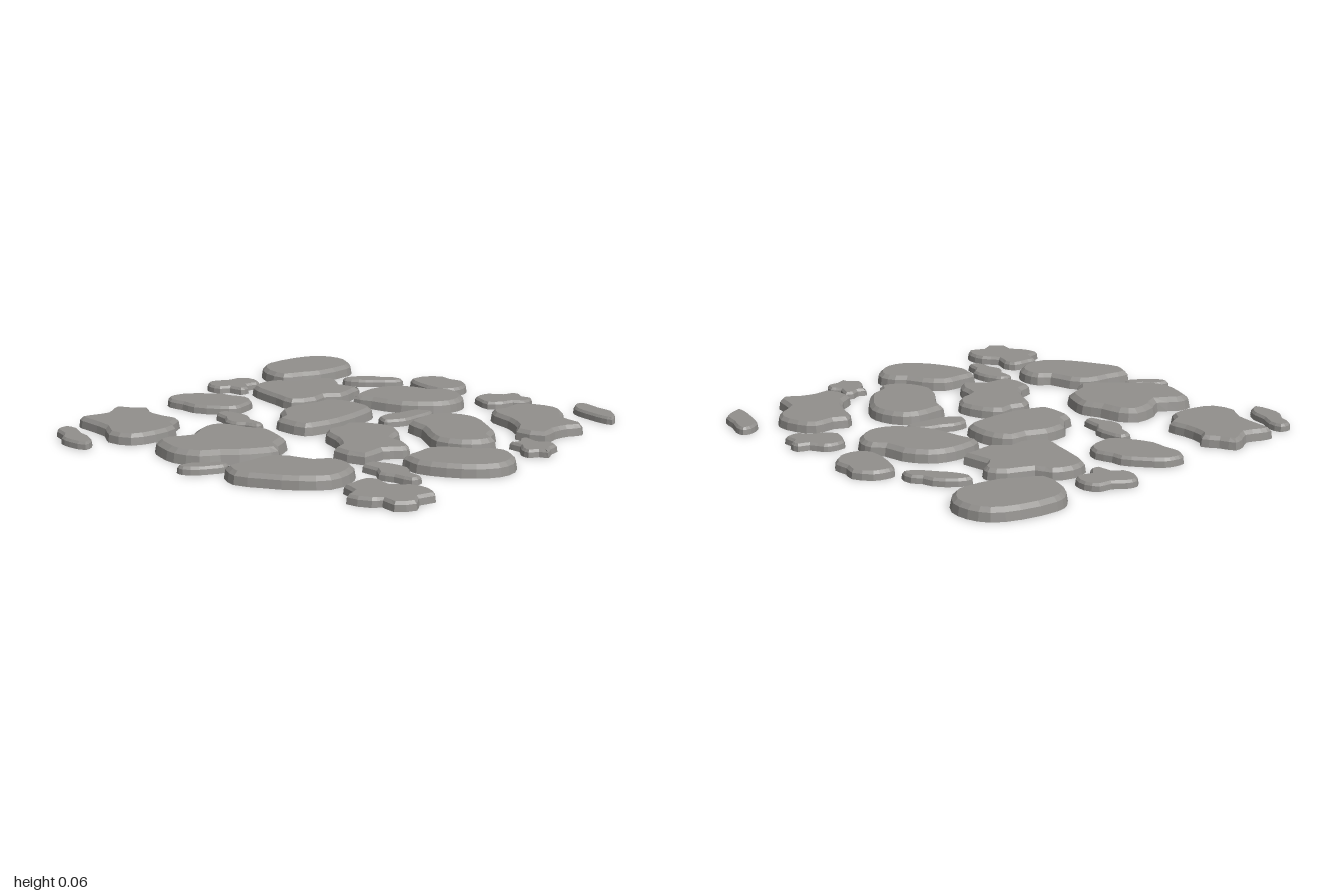
import * as THREE from 'three';

const stoneGrey = new THREE.MeshStandardMaterial({ color: 0x92908d, flatShading: true });
stoneGrey.name = 'stone grey';

// Moves a closed clockwise outline inwards by d and lifts it to height y.
function ring(outline, d, y) {
  const n = outline.length;
  return outline.map((p, i) => {
    const t = outline[(i + 1) % n].clone().sub(outline[(i + n - 1) % n]).normalize();
    return new THREE.Vector3(p.x - t.y * d, y, p.y + t.x * d);
  });
}

// A flat stone: smoothed plan outline (x, z in hundredths), steep wall, chamfered rim.
function stone(name, height, bevel, plan) {
  const knots = [];
  for (let i = 0; i < plan.length; i += 2) knots.push(new THREE.Vector3(plan[i] / 100, 0, plan[i + 1] / 100));
  const curve = new THREE.CatmullRomCurve3(knots, true);
  const n = knots.length * 2;
  const outline = Array.from({ length: n }, (_, i) => {
    const p = curve.getPoint(i / n);
    return new THREE.Vector2(p.x, p.z);
  });
  const rings = [
    ring(outline, 0, 0),
    ring(outline, bevel * 0.25, height * 0.68),
    ring(outline, bevel, height),
  ];
  const out = [];
  const tri = (a, b, c) => out.push(...a.toArray(), ...b.toArray(), ...c.toArray());

  // wall and chamfer
  for (let r = 0; r < rings.length - 1; r++) {
    for (let i = 0; i < n; i++) {
      const j = (i + 1) % n, lo = rings[r], hi = rings[r + 1];
      tri(lo[i], hi[i], hi[j]);
      tri(lo[i], hi[j], lo[j]);
    }
  }
  // underside and top
  for (const [cap, up] of [[rings[0], false], [rings[2], true]]) {
    const flat = cap.map((p) => new THREE.Vector2(p.x, p.z));
    for (const [a, b, c] of THREE.ShapeUtils.triangulateShape(flat, [])) {
      const facesUp = THREE.ShapeUtils.area([flat[a], flat[b], flat[c]]) < 0;
      if (facesUp === up) tri(cap[a], cap[b], cap[c]);
      else tri(cap[a], cap[c], cap[b]);
    }
  }
  const geometry = new THREE.BufferGeometry();
  geometry.setAttribute('position', new THREE.Float32BufferAttribute(out, 3));
  geometry.computeVertexNormals();
  const mesh = new THREE.Mesh(geometry, stoneGrey);
  mesh.name = name;
  return mesh;
}

const slab = (name, ...plan) => stone(name, 0.055, 0.026, plan);
const lobed = (name, ...plan) => stone(name, 0.05, 0.021, plan);
const small = (name, ...plan) => stone(name, 0.04, 0.015, plan);
const pebble = (name, ...plan) => stone(name, 0.034, 0.013, plan);

export function createModel() {
  const group = new THREE.Group();
  group.name = 'stepping stones';

  // large rounded slabs
  group.add(
    slab('backRightSlab', -89, -93, -80, -97, -70, -96, -62, -89, -60, -83, -63, -65, -68, -57, -74, -48, -87, -50, -96, -58, -98, -65, -95, -82),
    slab('backMiddleSlab', -24, -46, -23, -56, -19, -63, -9, -69, 1, -70, 6, -74, 13, -74, 20, -69, 24, -61, 23, -53, 18, -46, 5, -38, -11, -36, -21, -35),
    slab('innerLeftSlab', 26, -18, 26, -28, 30, -35, 40, -39, 49, -38, 59, -31, 67, -23, 69, -16, 74, -12, 72, -4, 65, 2, 53, 4, 45, -1, 37, -8, 27, -12),
    slab('centreSlab', -33, 4, -33, -5, -29, -14, -28, -22, -20, -27, -9, -27, -1, -24, 1, -17, 1, 3, -2, 14, -6, 21, -18, 21, -24, 19, -25, 14, -32, 7),
    slab('leftSlab', 57, 35, 57, 26, 58, 16, 67, 9, 75, 6, 79, 2, 87, 0, 94, 4, 99, 13, 98, 22, 91, 30, 80, 36, 67, 39, 59, 36),
    slab('frontLeftSlab', 7, 91, 9, 79, 11, 68, 19, 62, 30, 60, 34, 55, 42, 54, 50, 58, 54, 67, 53, 78, 43, 87, 30, 93, 17, 97, 9, 93),
    stone('frontMiddleSlab', 0.06, 0.034, [-42, 80, -42, 72, -36, 64, -40, 57, -41, 45, -34, 39, -24, 38, -15, 35, -6, 38, 2, 43, 5, 52, 10, 58, 6, 66, 0, 73, -6, 78, -12, 85, -24, 88, -34, 85]),
  );

  // large lobed stones
  group.add(
    lobed('backLeftLobedStone', 44, -55, 47, -61, 47, -71, 55, -76, 66, -77, 73, -72, 78, -63, 89, -60, 92, -55, 88, -49, 86, -42, 86, -33, 72, -31, 68, -38, 59, -45, 49, -49),
    lobed('backRightLobedStone', -75, -32, -71, -41, -64, -44, -59, -55, -52, -60, -47, -58, -43, -52, -30, -53, -29, -47, -28, -36, -34, -30, -33, -23, -40, -12, -52, -15, -62, -18, -73, -23),
    lobed('innerLobedStone', 4, 17, 6, 11, 5, 4, 13, -2, 25, -4, 30, -1, 34, 4, 36, 12, 44, 14, 51, 20, 50, 24, 44, 30, 43, 42, 26, 42, 24, 35, 16, 28, 8, 24),
    lobed('frontRightLobedStone', -98, 45, -91, 42, -84, 38, -80, 42, -69, 44, -60, 44, -57, 51, -52, 55, -52, 68, -57, 79, -69, 81, -77, 75, -91, 72, -98, 70, -97, 64, -94, 57, -97, 51),
  );

  // small stones
  group.add(
    small('backSmallStone', -22, -89, -20, -94, -12, -99, -6, -97, 1, -97, 7, -91, 8, -84, 5, -78, -1, -76, -14, -79, -22, -84),
    small('rightSmallStone', -94, 10, -92, 5, -85, -1, -77, -6, -72, -6, -64, -8, -57, -4, -55, 4, -55, 10, -61, 15, -73, 20, -81, 19, -89, 19, -94, 15),
    small('frontLeftSmallStone', 60, 75, 61, 66, 67, 64, 74, 67, 81, 62, 90, 62, 96, 67, 93, 74, 96, 80, 90, 87, 83, 85, 80, 88, 69, 90, 67, 83, 60, 80),
    pebble('backLeftSmallStone', 22, -82, 24, -85, 30, -88, 32, -93, 37, -93, 39, -90, 45, -90, 46, -82, 41, -79, 39, -74, 33, -69, 26, -72, 22, -75),
    pebble('backRightSmallStone', -100, -21, -99, -26, -95, -31, -94, -37, -88, -40, -81, -38, -79, -34, -81, -29, -77, -25, -78, -20, -85, -20, -88, -16, -95, -16),
    pebble('leftSmallStone', 78, -24, 80, -28, 87, -25, 91, -28, 97, -25, 97, -20, 99, -14, 95, -13, 92, -9, 87, -11, 84, -15, 78, -16, 80, -20),
  );

  // long thin pebbles filling the gaps
  group.add(
    pebble('backRightPebble', -52, -68, -50, -74, -42, -81, -37, -82, -33, -85, -26, -84, -27, -79, -36, -72, -42, -68, -49, -66),
    pebble('backLeftPebble', 67, -92, 68, -96, 73, -96, 80, -93, 88, -91, 93, -84, 94, -79, 88, -79, 81, -81, 75, -83, 70, -86),
    pebble('centrePebble', 7, -17, 7, -24, 10, -30, 12, -37, 16, -40, 21, -41, 22, -37, 21, -29, 20, -21, 16, -15, 13, -13, 8, -16),
    pebble('rightPebble', -57, 22, -56, 17, -49, 16, -41, 17, -37, 21, -28, 23, -28, 28, -34, 29, -38, 31, -45, 30, -49, 26, -55, 24),
    pebble('leftPebble', 47, 48, 48, 44, 53, 42, 57, 41, 66, 42, 70, 47, 77, 49, 76, 55, 67, 55, 60, 56, 56, 52, 48, 51),
    pebble('frontRightPebble', -96, 85, -95, 80, -88, 80, -82, 84, -75, 86, -69, 91, -68, 96, -77, 97, -84, 95, -87, 91, -94, 88),
    pebble('frontPebble', -13, 96, -11, 90, -6, 87, -4, 83, 2, 82, 3, 86, 0, 91, -3, 95, -9, 99, -13, 98),
  );
  return group;
}
